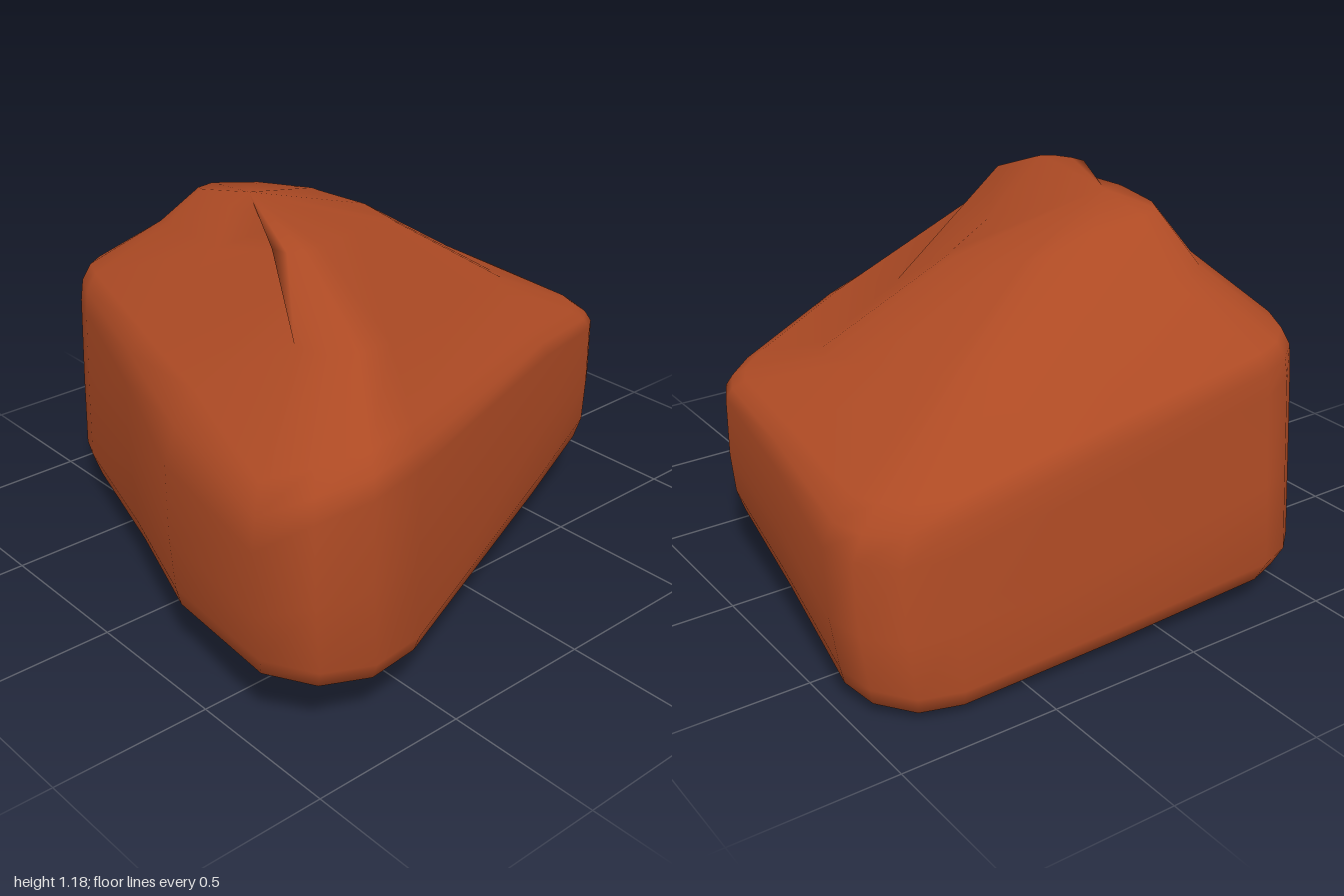
import * as THREE from 'three';

// Plan outline, counterclockwise from above: x, z, bottom height, top of the side wall
const outline = [
  [-1, 0.74, 0.19, 0.63], [-0.9, 0.87, 0.17, 0.73], [-0.74, 0.92, 0.15, 0.76], [-0.56, 0.9, 0.15, 0.78],
  [0.35, 0.53, 0.17, 0.7],
  [0.75, 0.36, 0.18, 0.62], [0.84, 0.29, 0.18, 0.6], [0.88, 0.21, 0.17, 0.59],
  [0.93, -0.2, 0.1, 0.55],
  [1, -0.66, 0.03, 0.49], [0.97, -0.77, 0.01, 0.48], [0.88, -0.87, 0, 0.48], [0.75, -0.91, 0, 0.49],
  [0.2, -0.92, 0.02, 0.58],
  [-0.35, -0.93, 0.05, 0.69], [-0.45, -0.9, 0.06, 0.71], [-0.53, -0.83, 0.06, 0.72], [-0.58, -0.72, 0.07, 0.72],
  [-0.75, -0.2, 0.1, 0.7], [-0.93, 0.26, 0.15, 0.66],
];

// Crown point above each outline point
const crown = [
  [-0.62, 1.0, 0.46], [-0.6, 1.0, 0.56], [-0.53, 1.01, 0.62], [-0.44, 1.02, 0.65],
  [0.25, 0.85, 0.22],
  [0.58, 0.75, 0.1], [0.62, 0.75, 0.06], [0.64, 0.75, 0],
  [0.62, 0.79, -0.2],
  [0.55, 0.81, -0.42], [0.5, 0.83, -0.48], [0.46, 0.85, -0.5], [0.4, 0.86, -0.55],
  [0.1, 0.95, -0.57],
  [-0.2, 1.0, -0.62], [-0.27, 1.0, -0.61], [-0.33, 1.01, -0.58], [-0.36, 1.03, -0.5],
  [-0.42, 1.06, -0.15], [-0.37, 1.13, 0.25],
];
const peak = [-0.24, 1.18, -0.22];
const mix = (a, b, t) => a + (b - a) * t;

// Rings from the underside, up the wall, over the rounded rim to the crown
const rings = [
  ([x, z, lo]) => [x * 0.89, lo, z * 0.89],
  ([x, z, lo]) => [x * 0.96, lo + 0.03, z * 0.96],
  ([x, z, lo]) => [x * 0.985, lo + 0.1, z],
  ([x, z, lo, hi]) => [x, mix(lo, hi, 0.55), z < -0.5 ? z + 0.025 : z],
  ([x, z, lo, hi]) => [x, hi, z < -0.5 ? z + 0.045 : z],
  ([x, z, lo, hi], c) => [mix(x, c[0], 0.07), mix(hi, c[1], 0.23), mix(z, c[2], z < -0.5 ? 0.16 : 0.07)],
  ([x, z, lo, hi], c) => [mix(x, c[0], 0.2), mix(hi, c[1], 0.42), mix(z, c[2], 0.22)],
  (o, c) => c,
  (o, c) => [mix(c[0], peak[0], 0.45), Math.min(1.165, mix(c[1], peak[1], 0.45) + 0.07), mix(c[2], peak[2], 0.45)],
];

function boulderGeometry() {
  const n = outline.length;
  const positions = [];
  const index = [];
  for (const ring of rings) outline.forEach((o, i) => positions.push(...ring(o, crown[i])));
  const top = positions.length / 3;
  positions.push(...peak, 0.05, 0.09, 0);
  for (let i = 0; i < n; i++) {
    const j = (i + 1) % n;
    for (let r = 0; r < rings.length - 1; r++) {
      const a = r * n + i, b = r * n + j;
      index.push(a, b, b + n, a, b + n, a + n);
    }
    // Close the peak and the underside
    const last = (rings.length - 1) * n;
    index.push(last + i, last + j, top, j, i, top + 1);
  }
  const geometry = new THREE.BufferGeometry();
  geometry.setAttribute('position', new THREE.Float32BufferAttribute(positions, 3));
  geometry.setIndex(index);
  geometry.computeVertexNormals();
  return geometry;
}

export function createModel() {
  const group = new THREE.Group();
  group.name = 'rock';
  const rust = new THREE.MeshStandardMaterial({ color: 0xad4a24 });
  rust.name = 'rust red stone';
  const boulder = new THREE.Mesh(boulderGeometry(), rust);
  boulder.name = 'boulder';
  group.add(boulder);
  return group;
}
